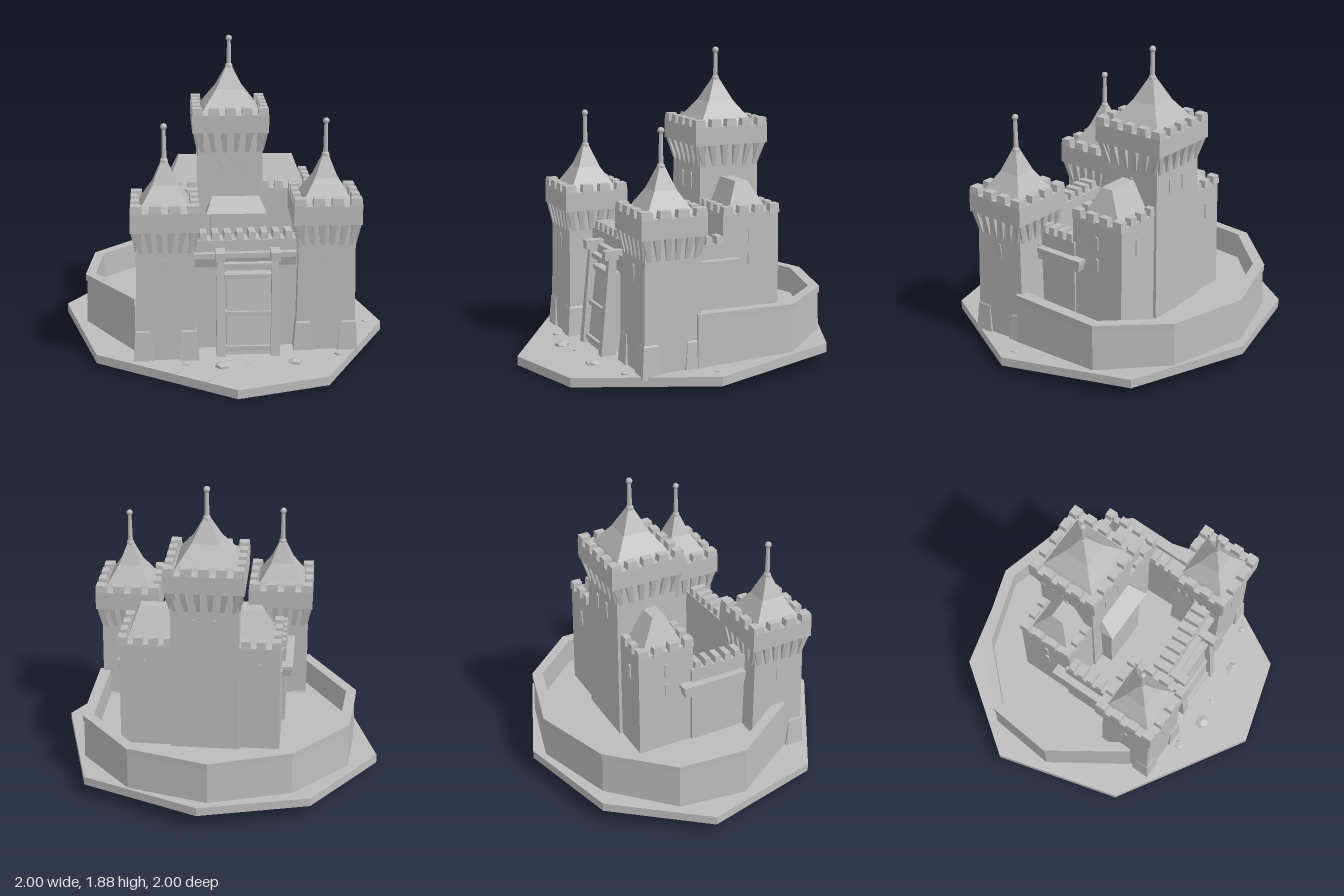
import * as THREE from 'three';

const stone = new THREE.MeshStandardMaterial({ color: 0xbcbcbc });
stone.name = 'grey stone';

const add = (parent, name, geo) => {
  const m = new THREE.Mesh(geo, stone);
  m.name = name;
  parent.add(m);
  return m;
};
const group = (parent, name) => {
  const g = new THREE.Group();
  g.name = name;
  parent.add(g);
  return g;
};

// Solid between two horizontal-ish loops of [x, y, z] points
function loft(bot, top) {
  const n = bot.length, pos = [];
  let area = 0;
  bot.forEach((p, i) => { const q = bot[(i + 1) % n]; area += p[0] * q[2] - q[0] * p[2]; });
  if (area > 0) { bot = [...bot].reverse(); top = [...top].reverse(); }
  const mid = l => [0, 1, 2].map(k => l.reduce((s, p) => s + p[k], 0) / n);
  const mb = mid(bot), mt = mid(top);
  for (let i = 0; i < n; i++) {
    const j = (i + 1) % n;
    pos.push(...bot[i], ...bot[j], ...top[j], ...bot[i], ...top[j], ...top[i]);
    pos.push(...mt, ...top[i], ...top[j], ...mb, ...bot[j], ...bot[i]);
  }
  const g = new THREE.BufferGeometry();
  g.setAttribute('position', new THREE.Float32BufferAttribute(pos, 3));
  g.computeVertexNormals();
  return g;
}
const rect = ([x0, x1, z0, z1], y) => [[x0, y, z0], [x1, y, z0], [x1, y, z1], [x0, y, z1]];
const taper = (b, y0, t, y1) => loft(rect(b, y0), rect(t, y1));
const block = (x0, x1, y0, y1, z0, z1) => taper([x0, x1, z0, z1], y0, [x0, x1, z0, z1], y1);
const square = (cx, cz, h, k = h) => [cx - h, cx + h, cz - k, cz + k];

// Row of merlons from a to b (points [x, z] on the wall's centre line)
function merlons(parent, a, b, y, h, t, n) {
  const dx = b[0] - a[0], dz = b[1] - a[1], len = Math.hypot(dx, dz);
  const pitch = len / (n - 0.35), w = pitch * 0.65;
  for (let i = 0; i < n; i++) {
    const s = (w / 2 + i * pitch) / len;
    const m = add(parent, 'merlon', taper(square(0, 0, w / 2, t / 2), 0, square(0, 0, w / 2 - 0.004, t / 2 - 0.004), h));
    m.position.set(a[0] + dx * s, y, a[1] + dz * s);
    m.rotation.y = -Math.atan2(dz, dx);
  }
}
function merlonRing(parent, [x0, x1, z0, z1], y, h, t, nx, nz) {
  const k = t / 2;
  for (const z of [z0 + k, z1 - k]) merlons(parent, [x0, z], [x1, z], y, h, t, nx);
  for (const x of [x0 + k, x1 - k]) merlons(parent, [x, z0], [x, z1], y, h, t, nz);
}

// Thin arched slit, facing +z before turning
function slit(parent, x, y, z, turn, w = 0.03, h = 0.1) {
  const s = new THREE.Shape();
  s.moveTo(-w / 2, -h / 2).lineTo(w / 2, -h / 2).lineTo(w / 2, h / 2 - w / 2);
  s.absarc(0, h / 2 - w / 2, w / 2, 0, Math.PI).lineTo(-w / 2, -h / 2);
  const m = add(parent, 'window', new THREE.ExtrudeGeometry(s, { depth: 0.008, bevelEnabled: false, curveSegments: 5 }));
  m.position.set(x, y, z);
  m.rotation.y = turn;
}

// Square tower with corbels, battlements, flared roof and pole
function tower(parent, name, o) {
  const g = group(parent, name);
  g.position.set(o.x, 0, o.z);
  const { half: h, halfZ: hz = o.half, out, y0, yc, yp, top, n } = o;
  add(g, 'body', taper(square(0, 0, h + 0.012, hz + 0.012), y0, square(0, 0, h, hz), yp));
  add(g, 'parapet', block(-out, out, yp, top - 0.045, -out, out));
  merlonRing(g, square(0, 0, out), top - 0.045, 0.045, 0.055, n, n);
  // corbels lean out to meet the parapet on each side
  for (let side = 0; side < 4; side++) {
    const c = group(g, 'corbels');
    c.rotation.y = side * Math.PI / 2;
    const d = side % 2 ? h : hz, span = out - 0.02;
    for (let i = 0; i < 6; i++) {
      const x = -span + 0.012 + i * (2 * span - 0.024) / 5;
      const xb = x * (side % 2 ? hz : h) / out;
      add(c, 'corbel', taper([xb - 0.012, xb + 0.012, d - 0.03, d + 0.008], yc, [x - 0.02, x + 0.02, d - 0.03, out - 0.004], yp));
    }
  }
  const r = o.roof * Math.SQRT2, yb = top - 0.05, H = o.apex - yb;
  const pts = [[r, 0], [r * 0.9, H * 0.12], [r * 0.46, H * 0.52], [0.025, H]].map(p => new THREE.Vector2(p[0], yb + p[1]));
  const roof = new THREE.LatheGeometry(pts, 4, Math.PI / 4).toNonIndexed();
  roof.computeVertexNormals();
  add(g, 'roof', roof);
  const len = o.tip - o.apex;
  add(g, 'pole', new THREE.CylinderGeometry(0.011, 0.016, len, 8)).position.y = o.apex + len / 2 - 0.01;
  add(g, 'poleFoot', new THREE.SphereGeometry(0.024, 10, 6)).position.y = o.apex;
  add(g, 'poleKnob', new THREE.SphereGeometry(0.02, 10, 6)).position.y = o.tip - 0.02;
  // corner buttresses
  if (o.buttress) for (const sx of [-1, 1]) for (const sz of [-1, 1]) {
    const q = (a, b) => [Math.min(sx * a, sx * b), Math.max(sx * a, sx * b), Math.min(sz * a, sz * b), Math.max(sz * a, sz * b)];
    add(g, 'buttress', taper(q(0.07, h + 0.028), y0, q(0.09, h + 0.014), 0.25));
    add(g, 'buttressCap', taper(q(0.09, h + 0.014), 0.25, q(0.11, h), 0.28));
  }
  return g;
}

export function createModel() {
  const root = new THREE.Group();
  root.name = 'castle';

  // Sloping ground slab
  const slope = z => 0.0475 * (1 - z);
  const rim = [[0.06, -1], [0.77, -0.71], [1, 0.09], [0.58, 0.85], [0.04, 1], [-0.78, 0.5], [-1, -0.28], [-0.6, -0.83]];
  add(root, 'ground', loft(rim.map(([x, z]) => [x, slope(z), z]), rim.map(([x, z]) => [x, slope(z) + 0.055, z])));

  // Curtain wall and raised yard behind it
  const outer = [[-0.55, 0.46], [-0.86, 0], [-0.82, -0.43], [-0.49, -0.78], [0, -0.94], [0.49, -0.81], [0.81, -0.455], [0.8, 0.15]];
  const inner = [[-0.5, 0.42], [-0.797, -0.02], [-0.76, -0.4], [-0.45, -0.72], [0, -0.87], [0.46, -0.75], [0.743, -0.44], [0.73, 0.15]];
  const curtain = group(root, 'curtainWall');
  const low = ([x, z]) => [x, slope(z) + 0.02, z];
  const ring = (k, s, y) => [outer[k][0] * s, y, outer[k][1] * s];
  for (let i = 0; i < 7; i++) {
    const j = i + 1, at = (p, y) => [p[0], y, p[1]];
    add(curtain, 'wallPanel', loft([low(outer[i]), low(outer[j]), low(inner[j]), low(inner[i])],
      [ring(i, 0.99, 0.38), ring(j, 0.99, 0.38), at(inner[j], 0.38), at(inner[i], 0.38)]));
    add(curtain, 'coping', loft([at(outer[i], 0.375), at(outer[j], 0.375), at(inner[j], 0.375), at(inner[i], 0.375)],
      [at(outer[i], 0.415), at(outer[j], 0.415), at(inner[j], 0.415), at(inner[i], 0.415)]));
  }
  const yard = [...inner, [0.45, 0.33], [-0.2, 0.36]];
  add(root, 'yard', loft(yard.map(low), yard.map(([x, z]) => [x, 0.25, z])));

  // Towers
  const front = { half: 0.168, out: 0.203, y0: 0.06, yc: 0.74, yp: 0.87, top: 1.03, n: 4, roof: 0.15, apex: 1.25, tip: 1.475, buttress: true };
  for (const [name, x, z] of [['rightTower', -0.362, 0.408], ['leftTower', 0.6, 0.298]]) {
    const t = tower(root, name, { ...front, x, z });
    for (let s = 0; s < 4; s++) {
      const a = s * Math.PI / 2;
      slit(t, Math.sin(a) * 0.168, 0.65, Math.cos(a) * 0.168, a);
    }
  }
  const keep = tower(root, 'keep', { x: 0.055, z: -0.297, half: 0.2, halfZ: 0.192, out: 0.238, y0: 0.1, yc: 1.17, yp: 1.3, top: 1.455, n: 5, roof: 0.18, apex: 1.68, tip: 1.875 });
  for (const x of [-0.055, 0.07]) {
    slit(keep, x, 1.07, 0.193, 0);
    slit(keep, x, 1.07, -0.193, Math.PI);
  }
  for (const s of [-1, 1]) slit(keep, s * 0.2, 1.07, 0, s * Math.PI / 2);

  // Wings beside the keep, with a hipped roof
  const wings = group(root, 'wings');
  const plan = [-0.4, 0.575, -0.48, -0.11];
  add(wings, 'wingBody', taper(plan, 0.1, [-0.39, 0.565, -0.475, -0.112], 0.93));
  merlonRing(wings, plan, 0.92, 0.055, 0.05, 11, 4);
  add(wings, 'wingRoof', taper([-0.35, 0.53, -0.43, -0.16], 0.92, [-0.27, 0.46, -0.32, -0.24], 1.105));
  for (const y of [0.66, 0.8]) {
    slit(wings, 0.568, y, -0.29, Math.PI / 2, 0.03, 0.085);
    slit(wings, -0.393, y, -0.29, -Math.PI / 2, 0.03, 0.085);
  }
  for (const x of [-0.27, 0.42]) slit(wings, x, 0.78, -0.476, Math.PI);

  // Hall porch in front of the keep
  add(root, 'porch', block(-0.07, 0.24, 0.1, 0.81, -0.13, -0.02));
  add(root, 'porchRoof', taper([-0.1, 0.275, -0.13, 0.01], 0.8, [-0.06, 0.235, -0.13, -0.1], 0.885));

  // Side walls with ledges on the outside
  for (const [x0, x1, s] of [[-0.415, -0.325, -1], [0.49, 0.58, 1]]) {
    const w = group(root, 'sideWall');
    add(w, 'wall', block(x0, x1, 0.1, 0.76, -0.13, 0.25));
    merlons(w, [(x0 + x1) / 2, -0.11], [(x0 + x1) / 2, 0.21], 0.755, 0.05, 0.09, 5);
    const a = s > 0 ? x1 - 0.02 : x0 - 0.04, b = a + 0.06;
    add(w, 'ledge', taper([a, b, -0.19, 0.22], 0.6, [a, b, -0.2, 0.22], 0.65));
    add(w, 'ledgeCap', block(a - 0.006, b + 0.006, 0.65, 0.672, -0.205, 0.22));
  }

  // Front wall and gate
  const gate = group(root, 'gatehouse');
  const foot = y => [[-0.22, y, 0.31], [0.45, y, 0.285], [0.45, y, 0.4], [-0.22, y, 0.43]];
  add(gate, 'frontWall', loft(foot(0.06), foot(0.76)));
  merlons(gate, [-0.16, 0.37], [0.4, 0.345], 0.755, 0.05, 0.11, 8);
  const ledge = (y, o) => [[-0.2, y, 0.4], [0.42, y, 0.38], [0.42, y, 0.415 + o], [-0.2, y, 0.435 + o]];
  add(gate, 'frontLedge', loft(ledge(0.6, 0), ledge(0.66, 0.02)));
  add(gate, 'frontLedgeCap', loft(ledge(0.66, 0.03), ledge(0.69, 0.03)));
  for (const x of [-0.035, 0.29]) {
    add(gate, 'gatePost', taper([x - 0.028, x + 0.028, 0.47, 0.565], 0.06, [x - 0.02, x + 0.02, 0.46, 0.505], 0.68));
    add(gate, 'postHead', block(x - 0.028, x + 0.028, 0.66, 0.715, 0.42, 0.535));
  }
  add(gate, 'crossbar', block(-0.05, 0.305, 0.61, 0.64, 0.46, 0.5));
  add(gate, 'drawbridge', taper([0, 0.265, 0.42, 0.535], 0.06, [0, 0.265, 0.42, 0.475], 0.57));
  for (const y of [0.12, 0.33, 0.555]) {
    const z = 0.54 - (y - 0.06) * 0.118;
    add(gate, 'batten', block(-0.01, 0.275, y - 0.014, y + 0.014, z - 0.04, z + 0.012));
  }

  // Loose rocks on the ground
  for (const [x, z, r] of [[-0.03, 0.69, 0.05], [0.4, 0.65, 0.045], [0.67, 0.55, 0.025], [-0.25, 0.65, 0.03], [0.9, 0.08, 0.018], [0.12, 0.66, 0.014]]) {
    const m = add(root, 'rock', new THREE.DodecahedronGeometry(r));
    m.position.set(x, slope(z) + 0.058, z);
    m.scale.y = 0.45;
    m.rotation.y = x * 9;
  }
  return root;
}
